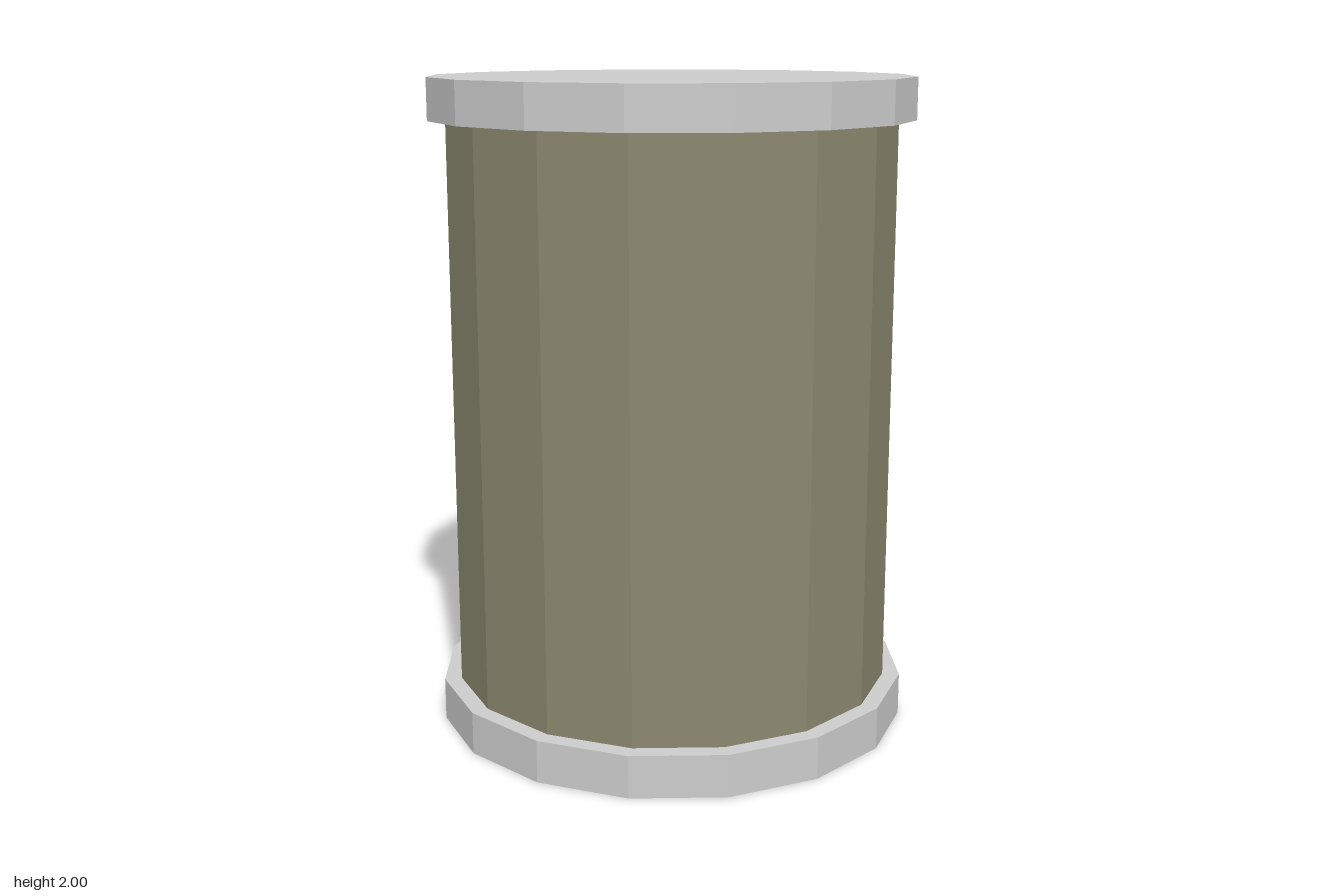
import * as THREE from 'three';

const SIDES = 16;

export function createModel() {
  const capGrey = new THREE.MeshStandardMaterial({ color: 0xcccccc });
  capGrey.name = 'capGrey';
  capGrey.flatShading = true;
  const bodyOlive = new THREE.MeshStandardMaterial({ color: 0x8b886f });
  bodyOlive.name = 'bodyOlive';
  bodyOlive.flatShading = true;

  const model = new THREE.Group();
  model.name = 'canister';

  // Faceted drum standing between two heights
  const addDrum = (name, radius, bottom, top, material, openEnded = false) => {
    const geometry = new THREE.CylinderGeometry(radius, radius, top - bottom, SIDES, 1, openEnded);
    const mesh = new THREE.Mesh(geometry, material);
    mesh.name = name;
    mesh.position.y = (bottom + top) / 2;
    model.add(mesh);
  };

  // Wider end caps with the narrower body between them
  addDrum('bottomCap', 0.735, 0, 0.13, capGrey);
  addDrum('body', 0.682, 0.13, 1.873, bodyOlive, true);
  addDrum('topCap', 0.735, 1.873, 2, capGrey);

  return model;
}
